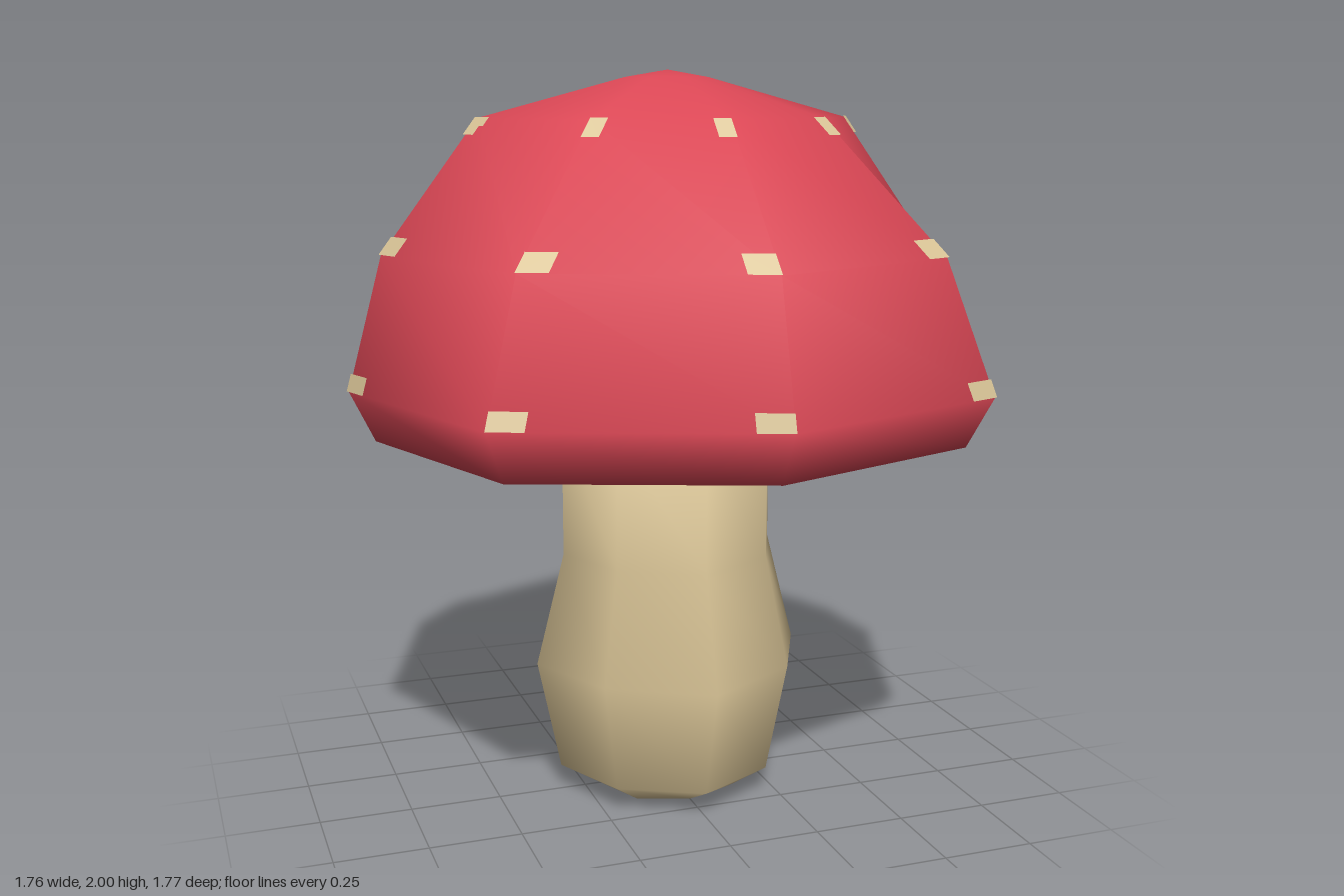
import * as THREE from 'three';

// Ring = [y, x on axis, z on axis, x on diagonal, z on diagonal]
const capRings = [
  [1.045, 0.81, 0.81, 0.61, 0.58],
  [1.18, 0.875, 0.88, 0.66, 0.63],
  [1.53, 0.78, 0.785, 0.56, 0.54],
  [1.875, 0.52, 0.46, 0.31, 0.32],
  [1.98, 0.12, 0.13, 0.08, 0.09],
];
const stemRings = [
  [0, 0.2, 0.19, 0.14, 0.14],
  [0.07, 0.32, 0.32, 0.22, 0.21],
  [0.38, 0.385, 0.4, 0.265, 0.25],
  [0.69, 0.305, 0.315, 0.215, 0.205],
  [1.05, 0.305, 0.315, 0.215, 0.205],
];

// Eight corners, starting at +x and turning towards +z
function corners([y, ax, az, dx, dz]) {
  return [
    [ax, 0], [dx, dz], [0, az], [-dx, dz],
    [-ax, 0], [-dx, -dz], [0, -az], [dx, -dz],
  ].map(([x, z]) => new THREE.Vector3(x, y, z));
}

// Closed, smooth-shaded skin over stacked eight-sided rings
function loft(rings, bottomY, topY) {
  const pts = rings.flatMap(corners);
  const bottom = pts.push(new THREE.Vector3(0, bottomY, 0)) - 1;
  const top = pts.push(new THREE.Vector3(0, topY, 0)) - 1;
  const last = (rings.length - 1) * 8;
  const index = [];
  for (let k = 0; k < 8; k++) {
    const n = (k + 1) % 8;
    index.push(bottom, k, n, top, last + n, last + k);
    for (let r = 0; r < last; r += 8) {
      index.push(r + k, r + 8 + k, r + 8 + n, r + k, r + 8 + n, r + n);
    }
  }
  const geometry = new THREE.BufferGeometry().setFromPoints(pts);
  geometry.setIndex(index);
  geometry.computeVertexNormals();
  return geometry;
}

// Small patch in the corner of a cap panel, lifted just off the skin
function spotGeometry(from, to, k, target) {
  const a = corners(capRings[from]);
  const b = corners(capRings[to]);
  const across = a[target].clone().sub(a[k]).multiplyScalar(0.13);
  const along = b[k].clone().sub(a[k]).multiplyScalar(0.13);
  const lift = new THREE.Vector3(a[k].x, 0.35, a[k].z).normalize().multiplyScalar(0.006);
  const p0 = a[k].clone().add(lift);
  const p1 = p0.clone().add(along);
  const p2 = p1.clone().add(across);
  const p3 = p0.clone().add(across);
  const geometry = new THREE.BufferGeometry().setFromPoints([p0, p1, p2, p3]);
  const outward = (target > k) === (to > from);
  geometry.setIndex(outward ? [0, 1, 2, 0, 2, 3] : [0, 2, 1, 0, 3, 2]);
  geometry.computeVertexNormals();
  return geometry;
}

export function createModel() {
  const model = new THREE.Group();
  model.name = 'mushroom';
  const red = new THREE.MeshStandardMaterial({ color: 0xdb4755 });
  const cream = new THREE.MeshStandardMaterial({ color: 0xdac597 });
  const spotCream = new THREE.MeshStandardMaterial({ color: 0xdac597, side: THREE.DoubleSide });

  // Stem with a swollen lower half
  const stem = new THREE.Mesh(loft(stemRings, 0, 1.05), cream);
  stem.name = 'stem';

  // Domed cap with a flat underside
  const cap = new THREE.Mesh(loft(capRings, 1.045, 2), red);
  cap.name = 'cap';

  // Three rows of eight spots; each leans towards the listed neighbouring corner
  const spots = new THREE.Group();
  spots.name = 'spots';
  const neighbours = [1, 2, 3, 2, 3, 6, 5, 6];
  for (const [from, to] of [[1, 2], [2, 3], [3, 2]]) {
    neighbours.forEach((target, k) => {
      const spot = new THREE.Mesh(spotGeometry(from, to, k, target), spotCream);
      spot.name = 'spot';
      spots.add(spot);
    });
  }

  model.add(stem, cap, spots);
  return model;
}
